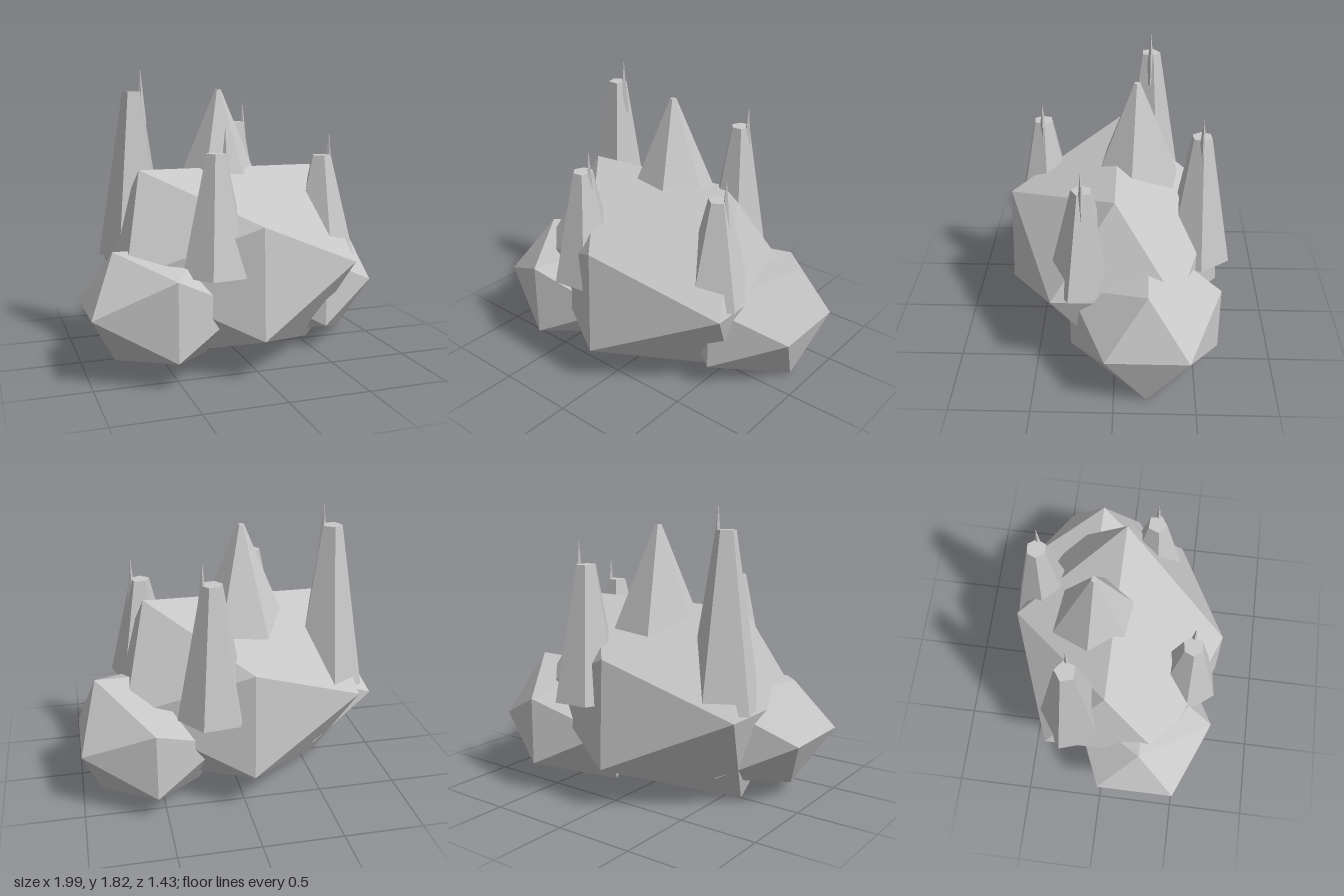
import * as THREE from 'three';

const stone = new THREE.MeshStandardMaterial({ color: 0xc9c9c9 });
stone.name = 'light grey stone';

// Boulder: an icosahedron whose three vertex rectangles are resized separately.
// flare pushes the lower end points out, endShift moves all end points in y and z,
// baseTilt raises the +x end of the bottom edge and lowers the other.
function boulder(name, [cx, cy, cz], { topX, topY, midX, midZ, endY, endZ, flare = 0, endShift = [0, 0], baseTilt = 0 }) {
  const geo = new THREE.IcosahedronGeometry(1, 0);
  const p = geo.attributes.position;
  const sign = (v) => (Math.abs(v) < 0.1 ? 0 : Math.sign(v));
  for (let i = 0; i < p.count; i++) {
    const x = sign(p.getX(i)), y = sign(p.getY(i)), z = sign(p.getZ(i));
    if (z === 0) p.setXYZ(i, x * topX, y * topY + (y < 0 ? x * baseTilt : 0), 0);
    else if (y === 0) p.setXYZ(i, x * midX, 0, z * midZ);
    else p.setXYZ(i, 0, y * endY + endShift[0], z * (endZ - y * flare) + endShift[1]);
  }
  geo.computeVertexNormals();
  const mesh = new THREE.Mesh(geo, stone);
  mesh.name = name;
  mesh.position.set(cx, cy, cz);
  return mesh;
}

// Tapered faceted column with a flat top and an open base
function taper(name, x, z, y0, y1, r0, r1, sides, degrees) {
  const profile = [new THREE.Vector2(r0, y0), new THREE.Vector2(r1, y1), new THREE.Vector2(0, y1)];
  const geo = new THREE.LatheGeometry(profile, sides, THREE.MathUtils.degToRad(degrees)).toNonIndexed();
  geo.computeVertexNormals();
  const mesh = new THREE.Mesh(geo, stone);
  mesh.name = name;
  mesh.position.set(x, 0, z);
  return mesh;
}

export function createModel() {
  const model = new THREE.Group();
  model.name = 'rockFormation';

  // Overlapping boulders
  model.add(
    boulder('mainBoulder', [-0.03, 0.605, 0], {
      topX: 0.575, topY: 0.597, midX: 0.745, midZ: 0.38,
      endY: 0.336, endZ: 0.682, flare: 0.013, endShift: [-0.012, 0.02], baseTilt: 0.008,
    }),
    boulder('rightBoulder', [-0.54, 0.41, 0.24], {
      topX: 0.285, topY: 0.338, midX: 0.458, midZ: 0.25,
      endY: 0.238, endZ: 0.445, baseTilt: -0.008,
    }),
    boulder('leftBoulder', [0.56, 0.39, -0.2], {
      topX: 0.32, topY: 0.39, midX: 0.435, midZ: 0.25,
      endY: 0.215, endZ: 0.465, endShift: [-0.01, 0.015],
    }),
  );

  // Central peak
  model.add(taper('centralPeak', -0.05, -0.12, 0.9, 1.69, 0.35, 0.02, 6, 24));

  // Towers, each with a thin spike beside its flat top
  const towers = [
    // x, z, top, base radius, sides, turn
    [-0.595, -0.205, 1.68, 0.235, 5, 35],
    [0.2, -0.51, 1.46, 0.22, 6, -24],
    [-0.255, 0.485, 1.34, 0.22, 6, -22],
    [0.542, 0.19, 1.28, 0.222, 5, -4],
  ];
  towers.forEach(([x, z, top, r, sides, turn], i) => {
    const tower = new THREE.Group();
    tower.name = `tower${i + 1}`;
    tower.add(
      taper('towerColumn', x, z, 0.63, top, r, 0.063, sides, turn),
      taper('towerSpike', x + 0.055, z, top - 0.2, top + 0.14, 0.035, 0.001, 4, 0),
    );
    model.add(tower);
  });

  return model;
}
